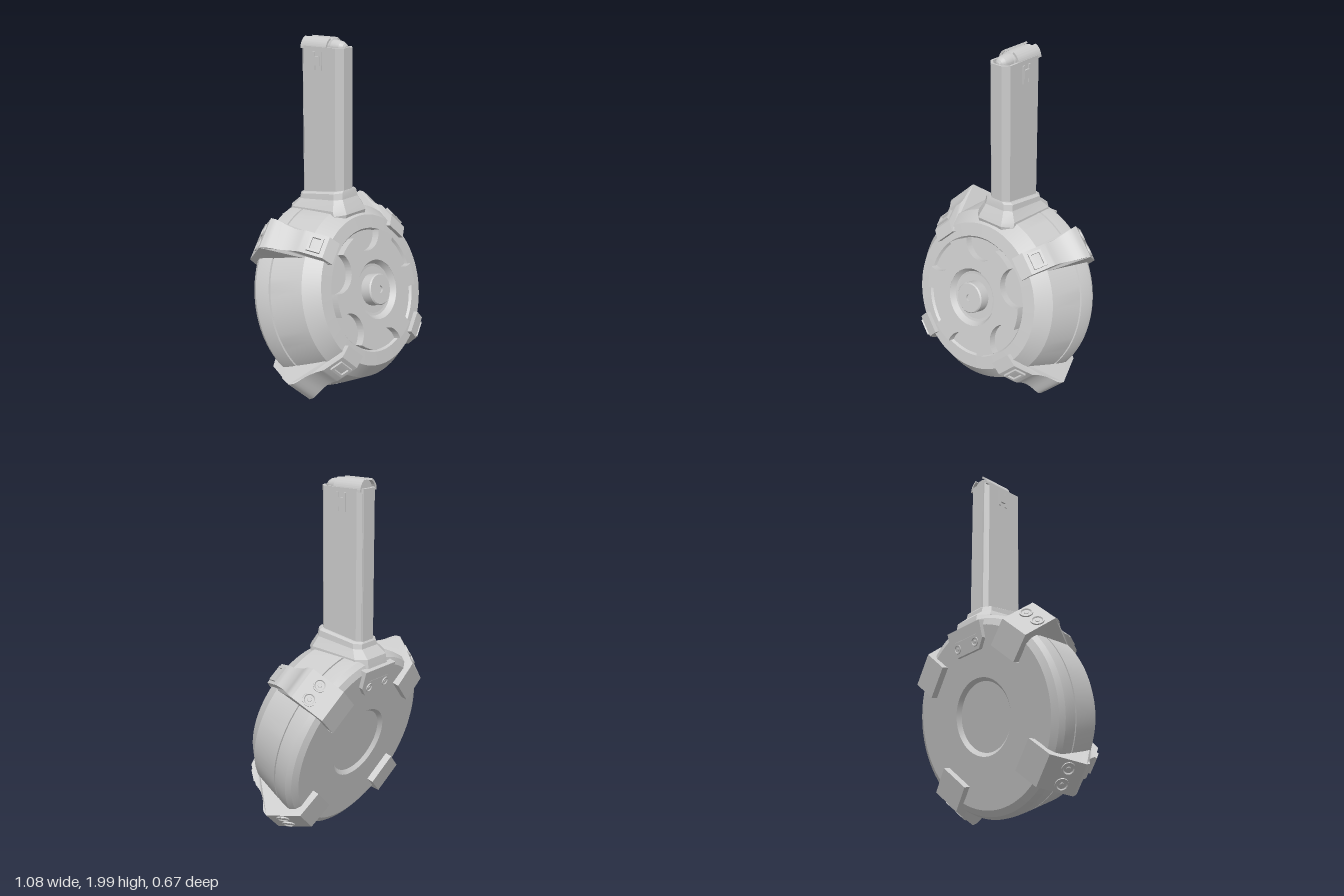
import * as THREE from 'three';
import { toCreasedNormals } from 'three/addons/utils/BufferGeometryUtils.js';

const material = new THREE.MeshStandardMaterial({ color: 0xcccccc, side: THREE.DoubleSide });
const V = (list) => list.map(([x, y]) => new THREE.Vector2(x, y));

function add(parent, name, geometry, x = 0, y = 0, z = 0) {
  const mesh = new THREE.Mesh(geometry, material);
  mesh.name = name;
  mesh.position.set(x, y, z);
  parent.add(mesh);
  return mesh;
}

// Turned part whose axis runs along z; profile is [radius, z] from back to front
const turned = (profile, segments = 72) =>
  toCreasedNormals(new THREE.LatheGeometry(V(profile), segments).rotateX(Math.PI / 2), 0.3);

const extrude = (shape, depth, segs = 16) =>
  toCreasedNormals(new THREE.ExtrudeGeometry(shape, { depth, bevelEnabled: false, curveSegments: segs }), 0.5);

// Rectangle with cut corners, ordered for lofting
function octagon(hx, zf, zb, cf, cb) {
  return [[hx, zb + cb], [hx, zf - cf], [hx - cf, zf], [cf - hx, zf],
    [-hx, zf - cf], [-hx, zb + cb], [cb - hx, zb], [hx - cb, zb]];
}

// Skin over octagons whose height slopes from front (yf) to back (yb)
function loft(sections) {
  const pos = [], idx = [], n = 8;
  for (const [hx, zf, zb, c, yf, yb] of sections)
    for (const [x, z] of octagon(hx, zf, zb, c, c))
      pos.push(x, yb + (yf - yb) * (z - zb) / (zf - zb), z);
  for (let j = 0; j < sections.length - 1; j++)
    for (let i = 0; i < n; i++) {
      const a = j * n + i, b = j * n + (i + 1) % n;
      idx.push(a, a + n, b, b, a + n, b + n);
    }
  const last = (sections.length - 1) * n;
  for (let i = 1; i < n - 1; i++) idx.push(last, last + i + 1, last + i);
  const g = new THREE.BufferGeometry();
  g.setAttribute('position', new THREE.Float32BufferAttribute(pos, 3));
  g.setIndex(idx);
  return toCreasedNormals(g, 0.3);
}

// Round plate with six scallops cut into its rim and a central opening
function scallopedPlate() {
  const R = 0.335, a = 0.11, d = 2 * Math.asin(a / (2 * R)), s = new THREE.Shape();
  for (let i = 0; i < 6; i++) {
    const c = Math.PI / 6 + i * Math.PI / 3;
    s.absarc(R * Math.cos(c), R * Math.sin(c), a, c - d / 2 - Math.PI / 2, c + d / 2 - 1.5 * Math.PI, true);
    s.absarc(0, 0, R, c + d, c + Math.PI / 3 - d, false);
  }
  s.holes.push(new THREE.Path().absarc(0, 0, 0.165, 0, Math.PI * 2, true));
  return extrude(s, 0.045, 24);
}

// Rectangular frame lying in the xy plane
function frame(w, h, t, depth) {
  const rect = (p, x, y) => p.moveTo(-x, -y).lineTo(x, -y).lineTo(x, y).lineTo(-x, y).closePath();
  const s = rect(new THREE.Shape(), w / 2, h / 2);
  s.holes.push(rect(new THREE.Path(), w / 2 - t, h / 2 - t));
  return extrude(s, depth);
}

// Recessed screw cup facing +y
const screwCup = () => toCreasedNormals(new THREE.LatheGeometry(
  V([[0.038, -0.02], [0.036, 0.008], [0.029, 0.008], [0.024, 0.002], [0.012, 0.002], [0.01, 0.005], [0, 0.005]]), 20), 0.4);

// Clamp wrapping the rim: side profile [radius, z], narrowing to the front
function clampGeometry() {
  const hump = new THREE.CatmullRomCurve3([[0.635, 0.09], [0.625, 0.125], [0.575, 0.18], [0.545, 0.23], [0.53, 0.28]]
    .map(([r, w]) => new THREE.Vector3(r, w, 0))).getPoints(14).map((p) => [p.x, p.y]);
  const profile = [[0.375, -0.03], [0.375, -0.09], [0.53, -0.08], ...hump, [0.45, 0.385], [0.38, 0.4], [0.38, 0.34]];
  const g = new THREE.ExtrudeGeometry(new THREE.Shape(V(profile)), { depth: 2, bevelEnabled: false });
  g.translate(0, 0, -1);
  g.applyMatrix4(new THREE.Matrix4().makeBasis(
    new THREE.Vector3(0, 1, 0), new THREE.Vector3(0, 0, 1), new THREE.Vector3(1, 0, 0)));
  const p = g.attributes.position;
  for (let i = 0; i < p.count; i++)
    p.setX(i, p.getX(i) * (0.095 - 0.03 * THREE.MathUtils.smoothstep(p.getZ(i), 0.07, 0.25)));
  return toCreasedNormals(g, 0.45);
}

function createClamp() {
  const clamp = new THREE.Group();
  clamp.name = 'rimClamp';
  add(clamp, 'clampBody', clampGeometry());
  for (const s of [-1, 1])
    add(clamp, 'clampScrew', screwCup(), s * 0.046, 0.592, 0.022).rotation.x = -0.553;
  add(clamp, 'clampWindow', frame(0.095, 0.075, 0.014, 0.012), 0, 0.487, 0.337).rotation.x = -0.92;
  return clamp;
}

function createDrum() {
  const drum = new THREE.Group();
  drum.name = 'drum';
  add(drum, 'drumShell', turned([[0, -0.03], [0.19, -0.03], [0.21, -0.05], [0.49, -0.05], [0.525, -0.03],
    [0.542, 0], [0.54, 0.03], [0.529, 0.086], [0.518, 0.087], [0.518, 0.096], [0.527, 0.097],
    [0.485, 0.29], [0.42, 0.37], [0.345, 0.375], [0.335, 0.362], [0, 0.362]], 96));
  add(drum, 'scallopedPlate', scallopedPlate(), 0, 0, 0.361);
  add(drum, 'hubDish', turned([[0.13, 0.372], [0.145, 0.374], [0.165, 0.405]].reverse()));
  add(drum, 'hubKnob', turned([[0.088, 0.36], [0.088, 0.42], [0.082, 0.427], [0.02, 0.427], [0.02, 0.415], [0, 0.415]], 48));

  // Four clamps on the diagonals
  for (let i = 0; i < 4; i++) {
    const clamp = createClamp();
    clamp.rotation.z = Math.PI / 4 + i * Math.PI / 2;
    drum.add(clamp);
  }

  // Tab of the collar screwed to the back face
  const tab = new THREE.Shape(V([[-0.09, 0.35], [0.09, 0.35], [0.13, 0.4], [0.13, 0.5], [-0.13, 0.5], [-0.13, 0.4]]));
  add(drum, 'backTab', extrude(tab, 0.06), 0, 0, -0.073);
  for (const s of [-1, 1]) {
    const screw = add(drum, 'tabScrew', screwCup(), s * 0.07, 0.395, -0.073);
    screw.rotation.x = -Math.PI / 2;
    screw.scale.setScalar(0.7);
  }
  drum.rotation.x = -Math.PI / 12;
  drum.position.set(0, 0.531, -0.142);
  return drum;
}

function createNeck() {
  const neck = new THREE.Group();
  neck.name = 'neck';

  // Hollow tube
  const flat = (hx, zf, zb, c, cb) => V(octagon(hx, zf, zb, c, cb).map(([x, z]) => [x, -z]));
  const tube = new THREE.Shape(flat(0.07, 0.037, -0.243, 0.034, 0.022));
  tube.holes.push(new THREE.Path(flat(0.058, 0.025, -0.231, 0.03, 0.018)));
  add(neck, 'neckTube', extrude(tube, 0.9).rotateX(-Math.PI / 2), 0, 1.05, 0);
  add(neck, 'follower', new THREE.BoxGeometry(0.118, 0.02, 0.23), 0, 1.89, -0.105);
  add(neck, 'backRib', new THREE.BoxGeometry(0.09, 0.82, 0.012), 0, 1.54, -0.244);

  // Curled feed lips and side catches, mirrored
  for (const s of [-1, 1]) {
    const lip = new THREE.Shape();
    const a = (deg) => (s > 0 ? deg : 180 - deg) * Math.PI / 180;
    lip.absarc(0, 0, 0.07, a(0), a(64), s < 0);
    lip.absarc(0, 0, 0.059, a(64), a(0), s > 0);
    add(neck, 'feedLip', extrude(lip, 0.18), 0, 1.935, -0.243);
    const latch = new THREE.Group();
    latch.name = 'sideCatch';
    for (const dz of [-1, 1]) add(latch, 'catchBar', new THREE.BoxGeometry(0.012, 0.1, 0.014), 0, 0, dz * 0.023);
    add(latch, 'catchBridge', new THREE.BoxGeometry(0.016, 0.05, 0.04), 0, 0, 0);
    latch.position.set(s * 0.071, 1.875, -0.12);
    neck.add(latch);
  }

  // Top round, nose toward the front
  add(neck, 'topRound', turned([[0, -0.228], [0.046, -0.228], [0.048, -0.22], [0.042, -0.212], [0.05, -0.205],
    [0.049, -0.06], [0.042, -0.056], [0.041, -0.03], [0.036, -0.003], [0.025, 0.016], [0.012, 0.024], [0, 0.026]], 32),
  0, 1.946, 0);

  // Flared collar joining neck and drum
  add(neck, 'collar', loft([
    [0.13, 0.075, -0.325, 0.045, 0.98, 0.93],
    [0.132, 0.095, -0.325, 0.05, 1.055, 0.97],
    [0.13, 0.085, -0.312, 0.05, 1.075, 1.05],
    [0.1, 0.052, -0.262, 0.035, 1.13, 1.095],
    [0.096, 0.046, -0.258, 0.035, 1.165, 1.122],
    [0.08, 0.042, -0.252, 0.034, 1.175, 1.13],
  ]));
  return neck;
}

export function createModel() {
  const model = new THREE.Group();
  model.name = 'drumMagazine';
  model.add(createDrum(), createNeck());
  return model;
}
